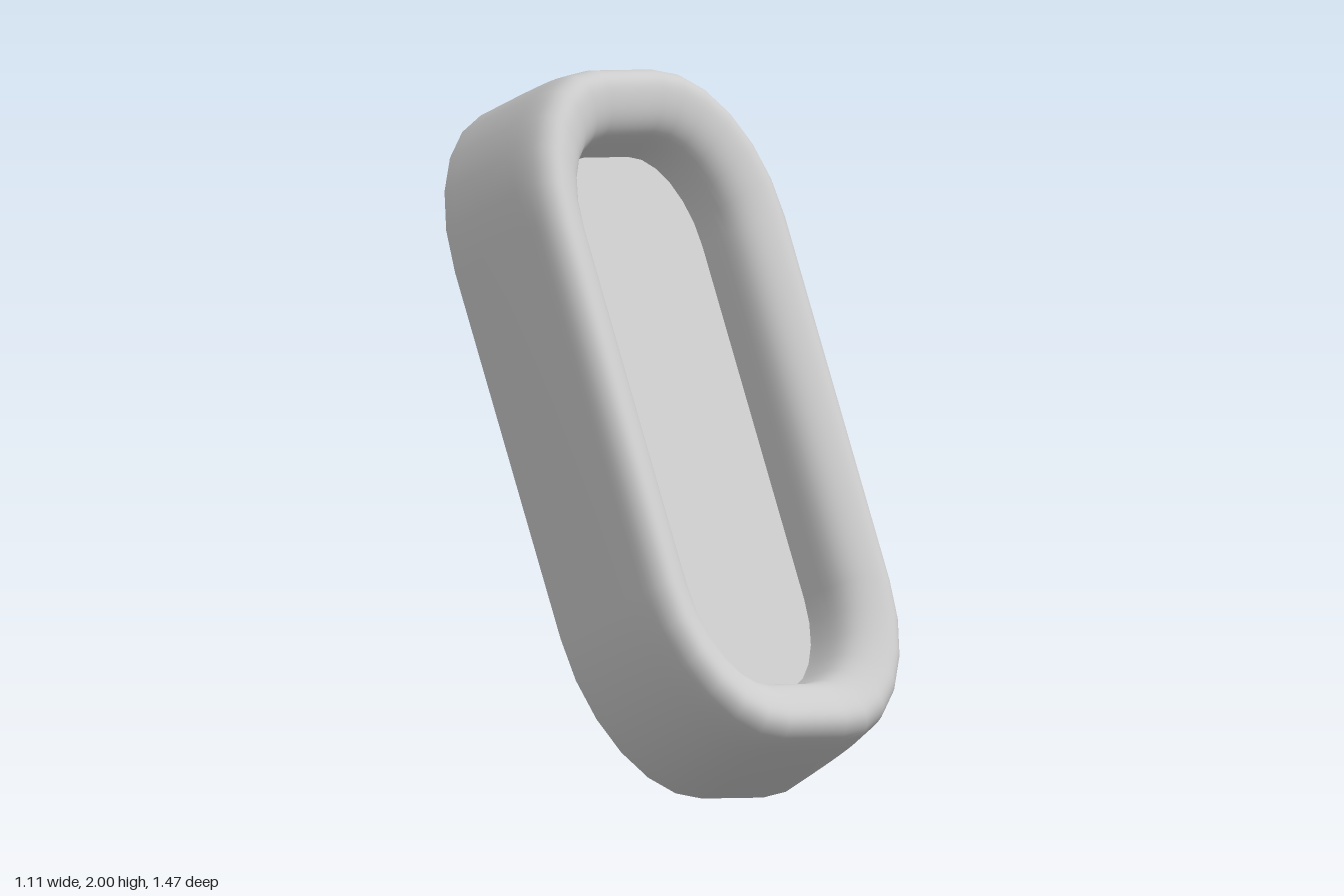
import * as THREE from 'three';

const HALF_W = 0.489, HALF_L = 1.048;   // half width and half length at the open back
const CORNER_W = 0.37, CORNER_L = 0.49; // elliptical corner radii
const PANEL_INSET = 0.214, PANEL_H = 0.06;
const STEPS = 6;

// Rounded rectangle, counter-clockwise, shrunk by inset (a little more along the length)
function outline(inset) {
  const a = HALF_W - inset, b = HALF_L - 1.1 * inset;
  const rx = CORNER_W - 0.85 * inset, ry = CORNER_L - inset;
  const points = [];
  [[1, 1], [-1, 1], [-1, -1], [1, -1]].forEach(([sx, sy], q) => {
    for (let i = 0; i <= STEPS; i++) {
      const t = (q + i / STEPS) * Math.PI / 2;
      points.push(new THREE.Vector2(sx * (a - rx) + rx * Math.cos(t), sy * (b - ry) + ry * Math.sin(t)));
    }
  });
  return points;
}

// Skin through outlines, each profile point being (inset, height)
function loft(profile) {
  const positions = [], indices = [];
  const n = 4 * (STEPS + 1);
  profile.forEach(({ x: inset, y: h }, i) => {
    outline(inset).forEach((p, j) => {
      positions.push(p.x, p.y, h);
      if (i === profile.length - 1) return;
      const a = i * n + j, b = i * n + (j + 1) % n;
      indices.push(a, b, b + n, a, b + n, a + n);
    });
  });
  const geometry = new THREE.BufferGeometry();
  geometry.setAttribute('position', new THREE.Float32BufferAttribute(positions, 3));
  geometry.setIndex(indices);
  geometry.computeVertexNormals();
  return geometry;
}

export function createModel() {
  const group = new THREE.Group();
  group.name = 'recessedFrame';
  const material = new THREE.MeshStandardMaterial({ color: 0xcccccc, side: THREE.DoubleSide });

  // Flared outer wall, rounded rim and sloping inner wall in one smooth skin, open at the back
  const profile = new THREE.SplineCurve([
    [0, -0.16], [0.009, 0.06], [0.02, 0.18], [0.041, 0.235], [0.078, 0.255],
    [0.132, 0.239], [0.175, 0.205], [0.199, 0.153], [PANEL_INSET, PANEL_H],
  ].map(([inset, h]) => new THREE.Vector2(inset, h)));
  const frame = new THREE.Mesh(loft(profile.getPoints(32)), material);
  frame.name = 'roundedRimFrame';

  // Flat panel at the bottom of the recess
  const panelGeometry = new THREE.ShapeGeometry(new THREE.Shape(outline(PANEL_INSET)));
  panelGeometry.translate(0, 0, PANEL_H);
  const panel = new THREE.Mesh(panelGeometry, material);
  panel.name = 'recessedPanel';

  // Lean the parts back and turn them: width, length and facing directions
  const up = new THREE.Vector3(-0.082, 0.866, -0.494).normalize();
  const facing = new THREE.Vector3(0.931, -0.112, -0.347).cross(up).normalize();
  const across = up.clone().cross(facing);
  const tilt = new THREE.Matrix4().makeBasis(across, up, facing);
  for (const mesh of [frame, panel]) {
    mesh.geometry.applyMatrix4(tilt);
    group.add(mesh);
  }

  // Centre the model and stand it on the ground
  const box = new THREE.Box3().setFromObject(group, true);
  const centre = box.getCenter(new THREE.Vector3());
  group.position.set(-centre.x, -box.min.y, -centre.z);
  return group;
}
